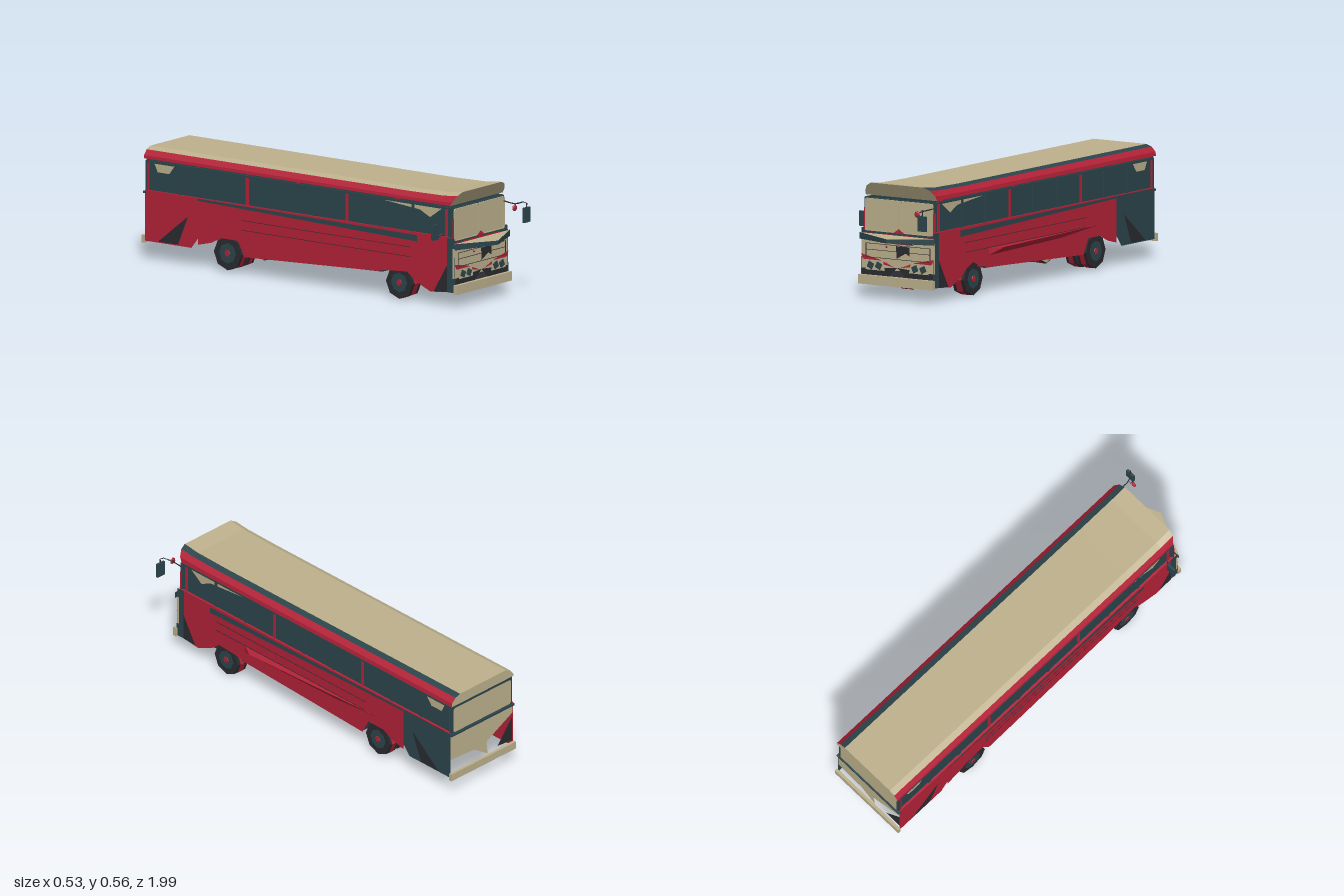
import * as THREE from 'three';

const TAN = 0xbdb08c, RED = 0xb42238, TEAL = 0x2b454c, DARK = 0x2a2b30;
const mats = {};
const mat = (c) => (mats[c] ??= new THREE.MeshStandardMaterial({ color: c, flatShading: true, side: THREE.DoubleSide }));

export function createModel() {
  const bus = new THREE.Group();
  bus.name = 'bus';
  const add = (name, geo, color, x = 0, y = 0, z = 0) => {
    const m = new THREE.Mesh(geo, mat(color));
    m.name = name;
    m.position.set(x, y, z);
    bus.add(m);
    return m;
  };
  const box = (name, color, x0, x1, y0, y1, z0, z1) =>
    add(name, new THREE.BoxGeometry(x1 - x0, y1 - y0, z1 - z0), color, (x0 + x1) / 2, (y0 + y1) / 2, (z0 + z1) / 2);
  // flat convex panel from its corners in order
  const panel = (name, color, pts) => {
    const pos = [];
    for (let i = 1; i < pts.length - 1; i++) pos.push(...pts[0], ...pts[i], ...pts[i + 1]);
    const g = new THREE.BufferGeometry();
    g.setAttribute('position', new THREE.Float32BufferAttribute(pos, 3));
    g.computeVertexNormals();
    return add(name, g, color);
  };
  const shapeOf = (pts) => new THREE.Shape(pts.map((p) => new THREE.Vector2(...p)));
  // side sheet drawn in (z, y), standing at a given x
  const side = (name, color, x, pts) => {
    const m = add(name, new THREE.ShapeGeometry(shapeOf(pts)), color, x, 0, 0);
    m.geometry.rotateY(-Math.PI / 2);
    return m;
  };
  const bar = (name, color, pts, r = 0.004) =>
    add(name, new THREE.TubeGeometry(new THREE.CatmullRomCurve3(pts.map((p) => new THREE.Vector3(...p))), 8, r, 5), color);

  // roof: coloured bands swept along the length, turned up at the front
  const arch = [[-0.192, 0.49], [-0.19, 0.505], [-0.17, 0.53], [-0.14, 0.543], [0.165, 0.543], [0.195, 0.533], [0.218, 0.51], [0.221, 0.49]];
  const bands = [RED, RED, TAN, TAN, TEAL, RED, RED];
  const stations = [[-0.99, 0], [0.6, -0.002], [0.8, 0.002], [0.89, 0.012]];
  const roofPoint = ([x, y], [z, dy]) => {
    const t = (y - 0.49) / 0.053;
    return [x, y + dy * t, z > 0.85 ? 0.855 + t * 0.035 : z];
  };
  bands.forEach((c, i) => {
    for (let s = 0; s < stations.length - 1; s++)
      panel('roofBand', c, [roofPoint(arch[i], stations[s]), roofPoint(arch[i + 1], stations[s]),
        roofPoint(arch[i + 1], stations[s + 1]), roofPoint(arch[i], stations[s + 1])]);
  });
  for (const s of [stations[0], stations[3]]) panel('roofEnd', TAN, arch.map((p) => roofPoint(p, s)));
  box('ceiling', TAN, -0.188, 0.215, 0.49, 0.492, -0.98, 0.85);

  // red lower sides with wheel openings, dark ends
  const lower = [[0.84, 0.335], [0.84, 0.07], [0.74, 0.06], [0.65, 0.1], [0.6, 0.14], [0.46, 0.13], [0.42, 0.12],
    [-0.38, 0.085], [-0.42, 0.16], [-0.52, 0.16], [-0.58, 0.13], [-0.66, 0.11], [-0.66, 0.335]];
  for (const [x, s] of [[0.22, 1], [-0.197, -1]]) {
    side('lowerSide', RED, x, lower);
    side('rearQuarter', s > 0 ? TEAL : RED, x, [[-0.66, 0.335], [-0.66, 0.14], [-0.7, 0.09], [-0.98, 0.09], [-0.98, 0.335]]);
    side('rearQuarterInset', DARK, x + s * 0.001, [[-0.72, 0.24], [-0.78, 0.095], [-0.9, 0.095]]);
    side('frontCorner', TEAL, x, [[0.84, 0.335], [0.84, 0.07], [0.89, 0.07], [0.885, 0.335]]);
    side('frontCornerShade', DARK, x + s * 0.001, [[0.84, 0.2], [0.76, 0.065], [0.84, 0.07]]);
    // waist stripe and trim lines
    side('waistStripe', TEAL, x + s * 0.002, [[0.66, 0.325], [0.66, 0.295], [-0.66, 0.325], [-0.66, 0.335]]);
    for (const y of [0.215, 0.262]) box('trimLine', DARK, x - 0.002, x + 0.002, y - 0.001, y + 0.001, -0.4, 0.62);
    // window band, set slightly inward
    const xw = x - s * 0.011;
    side('sideGlass', TEAL, xw, [[0.86, 0.48], [0.87, 0.335], [-0.98, 0.335], [-0.98, 0.48]]);
    for (let i = 0; i < 10; i++) {
      const z = 0.83 - i * 0.2;
      box('windowPost', i % 3 ? TEAL : RED, xw - 0.004, xw + 0.004, 0.335, 0.482, z - 0.008, z + 0.008);
      if (i % 2) box('roofSupport', TEAL, xw - 0.004, xw + 0.004, 0.48, 0.493, z - 0.006, z + 0.006);
    }
    box('windowRail', TEAL, xw - 0.005, xw + 0.005, 0.474, 0.482, -0.98, 0.86);
    const sill = [x, xw].sort((a, b) => a - b);
    box('windowSill', RED, sill[0], sill[1], 0.333, 0.338, -0.98, 0.86);
    side('doorPane', TAN, xw + s * 0.001, [[0.8, 0.47], [0.73, 0.42], [0.67, 0.45], [0.45, 0.47]]);
    side('rearPane', TAN, xw + s * 0.001, [[-0.81, 0.47], [-0.84, 0.43], [-0.91, 0.43], [-0.93, 0.47]]);
  }

  // narrow bulged fold on the left side
  const fold = [[0.221, 0.214, -0.5], [0.221, 0.212, 0.42], [0.221, 0.178, 0.42], [0.221, 0.19, -0.2]];
  fold.forEach((p, i) => panel('sideFold', RED, [p, [0.262, 0.213, 0.35], fold[(i + 1) % 4]]));

  // floor
  panel('floor', DARK, [[-0.196, 0.12, 0.45], [0.219, 0.12, 0.45], [0.219, 0.09, -0.38], [-0.196, 0.09, -0.38]]);
  panel('frontFloor', DARK, [[-0.196, 0.14, 0.45], [0.219, 0.14, 0.45], [0.219, 0.07, 0.87], [-0.196, 0.07, 0.87]]);
  panel('rearFloor', DARK, [[-0.196, 0.17, -0.38], [0.219, 0.17, -0.38], [0.219, 0.12, -0.9], [-0.196, 0.14, -0.7]]);

  // windscreen: two rounded panes in a dark frame
  const pane = (x0, x1, y0, y1, r = 0.012) => new THREE.Shape()
    .moveTo(x0 + r, y0).lineTo(x1 - r, y0).quadraticCurveTo(x1, y0, x1, y0 + r).lineTo(x1, y1 - r)
    .quadraticCurveTo(x1, y1, x1 - r, y1).lineTo(x0 + r, y1).quadraticCurveTo(x0, y1, x0, y1 - r)
    .lineTo(x0, y0 + r).quadraticCurveTo(x0, y0, x0 + r, y0);
  box('windscreenBacking', TEAL, -0.192, 0.215, 0.31, 0.48, 0.855, 0.868);
  for (const [a, b] of [[-0.18, 0.008], [0.024, 0.205]]) {
    const rim = pane(a - 0.004, b + 0.004, 0.32, 0.477);
    rim.holes.push(pane(a, b, 0.324, 0.473));
    add('windscreenRim', new THREE.ExtrudeGeometry(rim, { depth: 0.006, bevelEnabled: false }), TAN, 0, 0, 0.87);
    add('windscreenPane', new THREE.ShapeGeometry(pane(a, b, 0.324, 0.473)), TAN, 0, 0, 0.872);
  }
  box('windscreenDivider', TAN, 0.012, 0.02, 0.32, 0.477, 0.868, 0.874);
  for (const x of [-0.187, 0.211]) box('windscreenPost', RED, x - 0.005, x + 0.005, 0.32, 0.43, 0.86, 0.872);
  for (const x of [-0.026, 0.022]) box('visorSupport', TEAL, x - 0.004, x + 0.004, 0.475, 0.495, 0.84, 0.85);
  panel('wiperBase', RED, [[-0.02, 0.318, 0.88], [0.05, 0.318, 0.88], [0.016, 0.342, 0.88]]);

  // pointed ledge below the windscreen
  const L = [-0.205, 0.89], R = [0.23, 0.89], P = [0.015, 0.985];
  const at = ([x, z], y) => [x, y, z];
  panel('ledgeTop', TAN, [at(L, 0.311), at(P, 0.305), at(R, 0.311)]);
  panel('ledgeUnder', DARK, [at(L, 0.28), at(P, 0.285), at(R, 0.28)]);
  for (const e of [L, R]) panel('ledgeFace', TEAL, [at(e, 0.311), at(P, 0.305), at(P, 0.285), at(e, 0.28)]);

  // front face, grille panel and lamps
  box('frontPanel', TAN, -0.198, 0.222, 0.14, 0.285, 0.875, 0.885);
  for (const y of [0.195, 0.232, 0.262]) box('grilleEdge', DARK, -0.17, 0.2, y - 0.001, y + 0.001, 0.884, 0.888);
  for (const x of [-0.17, 0.2]) box('grilleEdge', DARK, x - 0.001, x + 0.001, 0.195, 0.262, 0.884, 0.888);
  box('grilleTrim', RED, -0.085, 0.1, 0.269, 0.272, 0.884, 0.89);
  for (let i = 0; i < 9; i++) box('grilleSlot', DARK, -0.06 + i * 0.018, -0.05 + i * 0.018, 0.27, 0.277, 0.884, 0.892);
  panel('grilleShade', DARK, [[0.005, 0.26, 0.89], [0.085, 0.26, 0.89], [0.085, 0.215, 0.89], [0.075, 0.235, 0.89], [0.01, 0.2, 0.89]]);
  for (const y of [0.17, 0.253]) add('markerLamp', new THREE.SphereGeometry(0.006, 6, 5), RED, -0.05, y, 0.89);
  for (const s of [-1, 1]) {
    const px = (d) => 0.012 + s * d;
    panel('lampTrim', RED, [[px(0.21), 0.21, 0.888], [px(0.1), 0.187, 0.888], [px(0.015), 0.155, 0.888], [px(0.2), 0.185, 0.888]]);
    panel('lampHousing', TAN, [[px(0.182), 0.184, 0.891], [px(0.08), 0.184, 0.891], [px(0.07), 0.135, 0.891], [px(0.182), 0.135, 0.891]]);
    panel('frontShade', DARK, [[px(0.205), 0.14, 0.887], [px(0.0), 0.155, 0.887], [px(0.05), 0.11, 0.887], [px(0.205), 0.11, 0.887]]);
    for (const d of [0.105, 0.152])
      box('headlamp', TEAL, px(d) - 0.015, px(d) + 0.015, 0.143, 0.173, 0.89, 0.896).rotation.z = s * 0.45;
  }
  // bumpers
  box('frontBumper', TAN, -0.203, 0.228, 0.065, 0.11, 0.885, 0.905);
  box('bumperBracket', TAN, 0.012, 0.026, 0.065, 0.11, 0.89, 0.91);
  box('rearBumper', TAN, -0.203, 0.228, 0.08, 0.118, -0.995, -0.98);

  // rear: window above a torn lower panel, open beneath
  box('rearFrame', TEAL, -0.192, 0.215, 0.325, 0.482, -0.98, -0.97);
  add('rearWindow', new THREE.ShapeGeometry(pane(-0.18, 0.202, 0.338, 0.472)), TAN, 0, 0, -0.984);
  box('rearSill', TEAL, -0.2, 0.222, 0.322, 0.332, -0.99, -0.97);
  panel('rearPanel', TAN, [[0.218, 0.325, -0.98], [0.218, 0.19, -0.98], [0.06, 0.18, -0.98], [-0.02, 0.19, -0.98], [-0.196, 0.28, -0.98], [-0.196, 0.325, -0.98]]);
  panel('rearFlap', TAN, [[0.06, 0.18, -0.98], [-0.02, 0.19, -0.98], [-0.03, 0.12, -0.98]]);
  panel('rearShade', DARK, [[-0.196, 0.25, -0.975], [-0.196, 0.12, -0.975], [-0.1, 0.13, -0.975]]);

  // wheels and axles
  const wheel = (name, x, y, z, r, w, s) => {
    const disc = (part, color, r0, r1, h, offset, sides = 8, open = false) => {
      const m = add(name + part, new THREE.CylinderGeometry(r0, r1, h, sides, 1, open), color, x + s * offset, y, z);
      m.rotation.z = -s * Math.PI / 2;
    };
    disc('Tyre', DARK, r, r, w, 0);
    disc('Tread', RED, r * 1.01, r * 1.01, w * 0.5, 0, 8, true);
    disc('Back', TAN, r * 0.95, r * 0.95, 0.003, -w / 2);
    disc('Rim', TEAL, r * 0.6, r * 0.6, 0.004, w / 2);
    disc('Hub', RED, r * 0.2, r * 0.25, 0.008, w / 2, 6);
  };
  for (const s of [-1, 1]) {
    wheel('frontWheel', 0.013 + s * 0.172, 0.08, 0.55, 0.08, 0.07, s);
    wheel('rearOuterWheel', 0.013 + s * 0.178, 0.09, -0.485, 0.083, 0.055, s);
    wheel('rearInnerWheel', 0.013 + s * 0.108, 0.09, -0.485, 0.083, 0.055, s);
  }
  bar('frontAxle', TAN, [[-0.15, 0.08, 0.55], [0.18, 0.08, 0.55]], 0.012);
  bar('rearAxle', RED, [[-0.15, 0.09, -0.485], [0.18, 0.09, -0.485]], 0.016);
  add('differential', new THREE.SphereGeometry(0.032, 8, 6), RED, 0.013, 0.09, -0.485);

  // mirrors on their arms
  box('leftMirror', TEAL, 0.205, 0.252, 0.36, 0.433, 0.985, 0.997);
  bar('leftMirrorArm', DARK, [[0.21, 0.455, 0.85], [0.2, 0.45, 0.95], [0.228, 0.46, 0.99], [0.228, 0.43, 0.992]], 0.003);
  add('roundMirror', new THREE.SphereGeometry(0.016, 8, 6), RED, 0.177, 0.435, 0.96).scale.z = 0.5;
  bar('roundMirrorArm', TEAL, [[0.177, 0.44, 0.955], [0.2, 0.45, 0.95]], 0.003);
  box('rightMirror', TEAL, -0.265, -0.218, 0.327, 0.4, 0.795, 0.807);
  bar('rightMirrorArm', DARK, [[-0.195, 0.35, 0.82], [-0.212, 0.345, 0.81], [-0.222, 0.34, 0.803]]);
  return bus;
}
